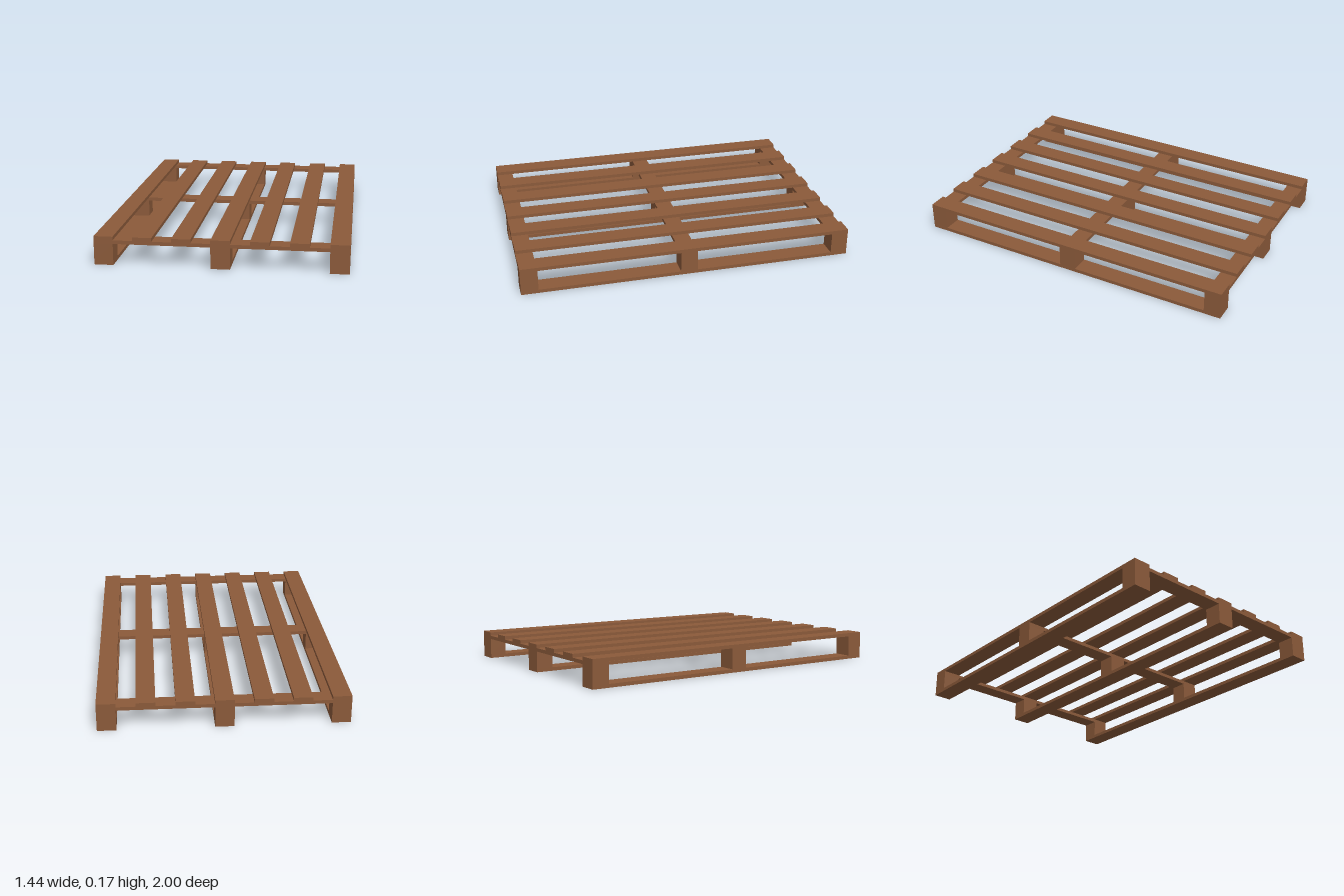
import * as THREE from 'three';

export function createModel() {
  const group = new THREE.Group();
  group.name = 'pallet';

  const wood = new THREE.MeshStandardMaterial({ color: 0x8b5a3a });
  wood.name = 'brown wood';

  const length = 2, width = 1.44; // overall z and x
  const board = 0.021;            // plank thickness
  const slatWidth = 0.11;
  const blockDepth = 0.102;
  const blockHeight = 0.104;
  const edgeX = (width - slatWidth) / 2;
  const edgeZ = (length - blockDepth) / 2;

  // Box resting on height y
  function plank(name, w, h, d, x, y, z) {
    const mesh = new THREE.Mesh(new THREE.BoxGeometry(w, h, d), wood);
    mesh.name = name;
    mesh.position.set(x, y + h / 2, z);
    group.add(mesh);
  }

  for (const i of [-1, 0, 1]) {
    // Runners along the ground
    plank('bottomRunner', slatWidth, board, length, i * edgeX, 0, 0);

    // Spacer blocks on each runner
    for (const k of [-1, 0, 1]) {
      plank('spacerBlock', slatWidth, blockHeight, blockDepth, i * edgeX, board, k * edgeZ);
    }

    // Cross boards over the blocks
    plank('crossBoard', width, board, blockDepth, 0, board + blockHeight, i * edgeZ);
  }

  // Seven deck slats running front to back
  for (let i = -3; i <= 3; i++) {
    plank('deckSlat', slatWidth, board, length, (i * edgeX) / 3, 2 * board + blockHeight, 0);
  }

  return group;
}
